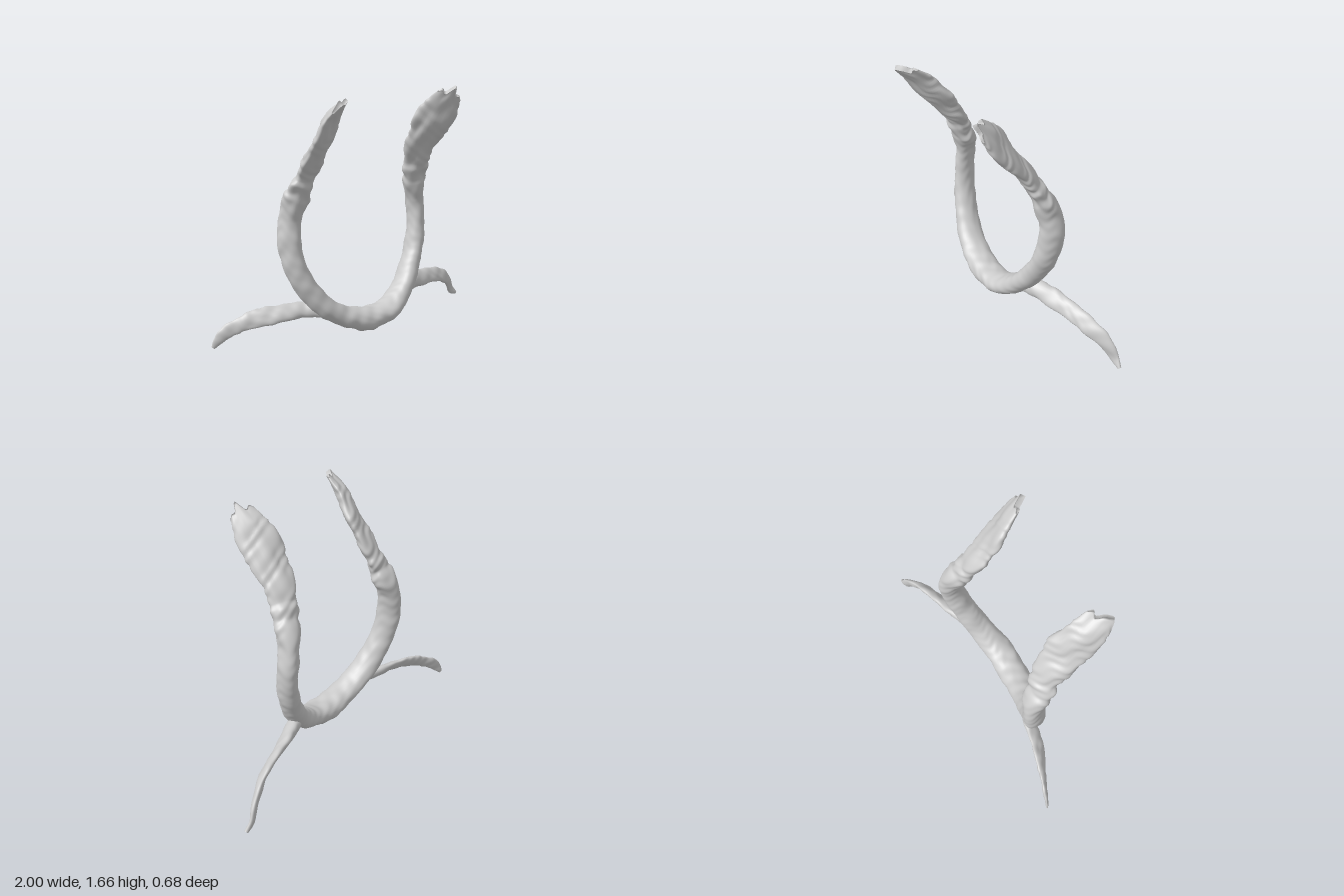
import * as THREE from 'three';

const material = new THREE.MeshStandardMaterial({ color: 0xcccccc, roughness: 0.8, side: THREE.DoubleSide });

// Smooth, repeatable bark-like unevenness in about -1..1
function rough(x, y, z) {
  return 0.4 * Math.sin(17 * x + 23 * y + 1.3 * Math.sin(19 * z))
    + 0.35 * Math.sin(41 * y - 29 * z + 2 * Math.sin(13 * x))
    + 0.3 * Math.sin(53 * x + 37 * z - 31 * y)
    + 0.25 * Math.sin(83 * y + 61 * x + 2 * Math.sin(47 * z));
}

// Sweeps an ellipse along stations [x, y, z, halfWidth, halfDepth, twist, roughness].
// jag(s, c) shifts points along the path to fray the ends (c = -1..1 across the width).
function sweep(name, stations, depthAxis, steps, sides, jag = () => 0) {
  const path = new THREE.CatmullRomCurve3(stations.map(s => new THREE.Vector3(s[0], s[1], s[2])));
  const size = new THREE.CatmullRomCurve3(stations.map(s => new THREE.Vector3(s[3], s[4], s[5])));
  const positions = [], index = [];
  const last = stations.length - 1;
  for (let i = 0; i <= steps; i++) {
    const s = i / steps;
    const p = path.getPoint(s), t = path.getTangent(s), d = size.getPoint(s);
    const k = Math.min(Math.floor(s * last), last - 1), f = s * last - k;
    const bump = THREE.MathUtils.lerp(stations[k][6], stations[k + 1][6], f);
    const depth = depthAxis.clone().addScaledVector(t, -depthAxis.dot(t)).normalize();
    const width = new THREE.Vector3().crossVectors(t, depth);
    const w = width.clone().multiplyScalar(Math.cos(d.z)).addScaledVector(depth, Math.sin(d.z));
    const b = new THREE.Vector3().crossVectors(t, w).negate();
    for (let j = 0; j < sides; j++) {
      const a = j / sides * Math.PI * 2, c = Math.cos(a), n = Math.sin(a);
      const q = p.clone().addScaledVector(w, c * d.x).addScaledVector(b, n * d.y);
      const r = bump * rough(q.x, q.y, q.z);
      q.addScaledVector(w, c * r).addScaledVector(b, n * r * 0.7).addScaledVector(t, jag(s, c));
      positions.push(q.x, Math.max(q.y, 0), q.z);
    }
  }
  for (let i = 0; i < steps; i++) {
    for (let j = 0; j < sides; j++) {
      const a = i * sides + j, b = i * sides + (j + 1) % sides;
      index.push(a, a + sides, b, b, a + sides, b + sides);
    }
  }
  // End caps, stitched straight across the section
  for (const [start, flip] of [[0, false], [steps * sides, true]]) {
    for (let j = 0; j < sides / 2; j++) {
      const a = start + j, b = start + j + 1;
      const c = start + (sides - j) % sides, d = start + sides - j - 1;
      if (flip) index.push(a, b, d, a, d, c);
      else index.push(a, d, b, a, c, d);
    }
  }
  // Orient the surface outwards by the sign of its volume
  let volume = 0;
  const v = i => new THREE.Vector3().fromArray(positions, i * 3);
  for (let i = 0; i < index.length; i += 3) {
    volume += v(index[i]).dot(v(index[i + 1]).cross(v(index[i + 2])));
  }
  if (volume < 0) index.reverse();
  const geometry = new THREE.BufferGeometry();
  geometry.setAttribute('position', new THREE.Float32BufferAttribute(positions, 3));
  geometry.setIndex(index);
  geometry.computeVertexNormals();
  const mesh = new THREE.Mesh(geometry, material);
  mesh.name = name;
  return mesh;
}

export function createModel() {
  const group = new THREE.Group();
  group.name = 'branchedCrescent';

  // Right arm with its flattened blade, from the tip down through the knotted neck
  const rightArm = [
    [-0.455, 1.595, 0.265, 0.085, 0.016, 0.6, 0.006],
    [-0.46, 1.52, 0.185, 0.108, 0.032, 0.6, 0.012],
    [-0.455, 1.41, 0.107, 0.115, 0.04, 0.55, 0.014],
    [-0.455, 1.3, 0.025, 0.108, 0.042, 0.5, 0.014],
    [-0.465, 1.2, -0.045, 0.095, 0.045, 0.45, 0.012],
    [-0.473, 1.15, -0.072, 0.08, 0.046, 0.45, 0.012],
    [-0.48, 1.11, -0.092, 0.088, 0.058, 0.4, 0.012],
    [-0.49, 1.06, -0.112, 0.076, 0.056, 0.35, 0.012],
    [-0.502, 1.01, -0.135, 0.087, 0.07, 0.3, 0.01],
    [-0.53, 0.88, -0.172, 0.057, 0.076, 0.4, 0.005],
    [-0.542, 0.74, -0.168, 0.056, 0.079, 0.4, 0.004],
    [-0.52, 0.59, -0.15, 0.06, 0.08, 0.35, 0.004],
    [-0.455, 0.44, -0.12, 0.063, 0.082, 0.25, 0.004],
    [-0.36, 0.31, -0.085, 0.066, 0.088, 0.1, 0.005],
  ];
  // Bottom of the crescent, swelling slightly underneath
  const bottom = [
    [-0.22, 0.217, -0.055, 0.066, 0.094, 0, 0.006],
    [-0.06, 0.173, -0.04, 0.075, 0.1, 0, 0.008],
    [0.11, 0.193, -0.043, 0.066, 0.096, 0, 0.006],
  ];
  // Left arm, up to the blade tip
  const leftArm = [
    [0.25, 0.283, -0.078, 0.066, 0.088, 0.1, 0.005],
    [0.358, 0.43, -0.118, 0.063, 0.082, 0.25, 0.004],
    [0.425, 0.59, -0.15, 0.06, 0.08, 0.35, 0.004],
    [0.447, 0.74, -0.168, 0.058, 0.079, 0.4, 0.004],
    [0.435, 0.88, -0.172, 0.057, 0.077, 0.4, 0.006],
    [0.4, 1.01, -0.135, 0.08, 0.068, 0.3, 0.01],
    [0.385, 1.06, -0.112, 0.076, 0.056, 0.35, 0.012],
    [0.372, 1.11, -0.092, 0.088, 0.058, 0.4, 0.012],
    [0.363, 1.15, -0.072, 0.082, 0.046, 0.45, 0.012],
    [0.355, 1.2, -0.045, 0.095, 0.045, 0.45, 0.012],
    [0.34, 1.3, 0.025, 0.108, 0.042, 0.5, 0.014],
    [0.335, 1.41, 0.107, 0.115, 0.04, 0.55, 0.014],
    [0.345, 1.52, 0.185, 0.103, 0.032, 0.6, 0.012],
    [0.348, 1.6, 0.255, 0.08, 0.016, 0.6, 0.006],
  ];
  // Frayed blade tips: one main point beside a lower shoulder
  const fray = (s, c) => {
    const end = Math.max(0, (Math.abs(s - 0.5) - 0.46) / 0.04);
    const peak = s < 0.5 ? 0.4 : 0.1;
    const lift = 0.06 * Math.exp(-9 * (c - peak) ** 2) + 0.012 * Math.cos(9 * c);
    return Math.sign(s - 0.5) * end * lift;
  };
  group.add(sweep('crescentWithBlades', [...rightArm, ...bottom, ...leftArm],
    new THREE.Vector3(0, 0, 1), 320, 40, fray));

  // Ribbon-like side branches, drooping outwards and back, faces tilted upwards
  group.add(sweep('rightBranch', [
    [-0.37, 0.285, -0.1, 0.05, 0.04, -0.5, 0.003],
    [-0.46, 0.293, -0.15, 0.05, 0.034, -0.65, 0.005],
    [-0.58, 0.294, -0.178, 0.057, 0.026, -0.75, 0.006],
    [-0.7, 0.284, -0.215, 0.058, 0.021, -0.6, 0.007],
    [-0.81, 0.256, -0.26, 0.052, 0.018, -0.4, 0.007],
    [-0.9, 0.215, -0.3, 0.042, 0.015, -0.25, 0.006],
    [-0.96, 0.165, -0.325, 0.033, 0.011, -0.1, 0.004],
    [-0.995, 0.112, -0.34, 0.012, 0.007, 0, 0],
  ], new THREE.Vector3(-0.33, 0, 0.94), 110, 24));
  group.add(sweep('leftBranch', [
    [0.3, 0.3, -0.1, 0.055, 0.045, 0.4, 0.004],
    [0.4, 0.298, -0.145, 0.062, 0.04, 0.6, 0.006],
    [0.52, 0.284, -0.188, 0.06, 0.03, 0.75, 0.006],
    [0.64, 0.262, -0.218, 0.056, 0.024, 0.7, 0.007],
    [0.75, 0.232, -0.25, 0.056, 0.021, 0.6, 0.008],
    [0.84, 0.18, -0.287, 0.055, 0.02, 0.4, 0.008],
    [0.905, 0.112, -0.318, 0.042, 0.018, 0.25, 0.006],
    [0.945, 0.05, -0.335, 0.034, 0.016, 0.1, 0.004],
    [0.993, 0.012, -0.335, 0.012, 0.012, 0, 0],
  ], new THREE.Vector3(0.33, 0, 0.94), 120, 24));

  return group;
}
